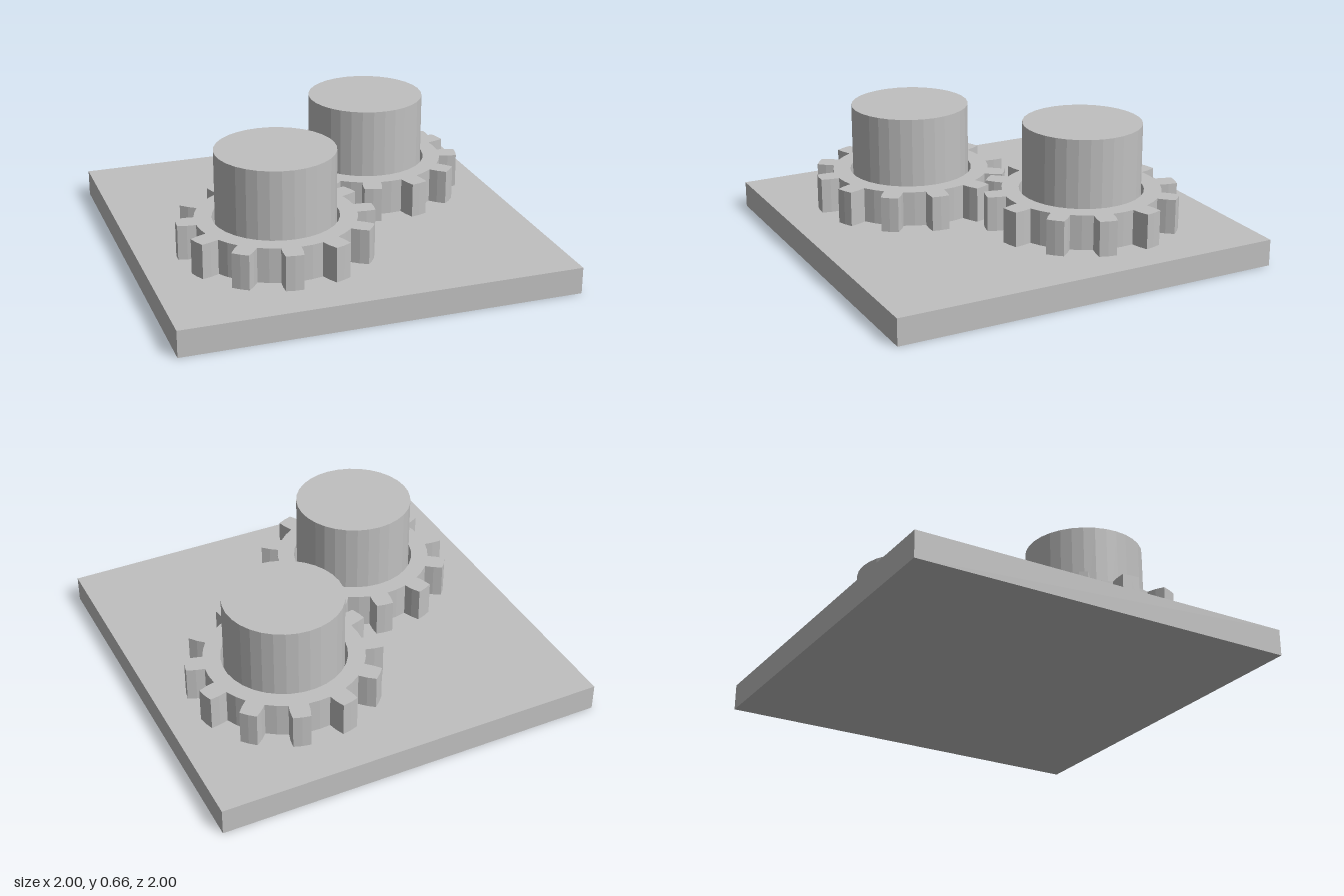
import * as THREE from 'three';

const TEETH = 12, SEGMENTS = 32;
const BASE_TOP = 0.135, GEAR_BOTTOM = 0.145, GEAR_TOP = 0.322, POST_TOP = 0.665;
const POST_RADIUS = 0.298, HOLE_RADIUS = 0.313;
const rad = THREE.MathUtils.degToRad;

// One tooth as [radius, degrees from the tooth's middle]
const TOOTH = [
  [0.4, -6.9], [0.445, -6.3], [0.49, -5.1], [0.491, 0],
  [0.49, 5.1], [0.445, 6.3], [0.4, 6.9], [0.4, 15],
];

// Toothed ring with a round bore, lying flat
function gearGeometry() {
  const points = [];
  for (let i = 0; i < TEETH; i++) {
    for (const [r, deg] of TOOTH) {
      const a = rad(i * 360 / TEETH + deg);
      points.push(new THREE.Vector2(r * Math.cos(a), r * Math.sin(a)));
    }
  }
  const shape = new THREE.Shape(points);
  const bore = [];
  for (let i = 0; i < SEGMENTS; i++) {
    const a = -i / SEGMENTS * Math.PI * 2;
    bore.push(new THREE.Vector2(HOLE_RADIUS * Math.cos(a), HOLE_RADIUS * Math.sin(a)));
  }
  shape.holes.push(new THREE.Path(bore));
  const geometry = new THREE.ExtrudeGeometry(shape, {
    depth: GEAR_TOP - GEAR_BOTTOM, bevelEnabled: false,
  });
  return geometry.rotateX(-Math.PI / 2);
}

export function createModel() {
  const model = new THREE.Group();
  model.name = 'gearPair';
  const grey = new THREE.MeshStandardMaterial({ color: 0xc0c0c0, flatShading: true });
  grey.name = 'grey';

  const add = (parent, name, geometry, y) => {
    const mesh = new THREE.Mesh(geometry, grey);
    mesh.name = name;
    mesh.position.y = y;
    parent.add(mesh);
    return mesh;
  };

  // Square base plate
  add(model, 'basePlate', new THREE.BoxGeometry(2, BASE_TOP, 2), BASE_TOP / 2);

  // Each gear floats just above the plate around its own post
  const gear = gearGeometry();
  const postHeight = POST_TOP - BASE_TOP;
  const post = new THREE.CylinderGeometry(POST_RADIUS, POST_RADIUS, postHeight, SEGMENTS);
  const placements = [
    ['left', 0.363, -0.298, 15],
    ['right', -0.327, 0.322, 23],
  ];
  for (const [side, x, z, turn] of placements) {
    const assembly = new THREE.Group();
    assembly.name = side + 'Assembly';
    assembly.position.set(x, 0, z);
    add(assembly, side + 'Post', post, BASE_TOP + postHeight / 2);
    add(assembly, side + 'Gear', gear, GEAR_BOTTOM).rotation.y = rad(turn);
    model.add(assembly);
  }
  return model;
}
